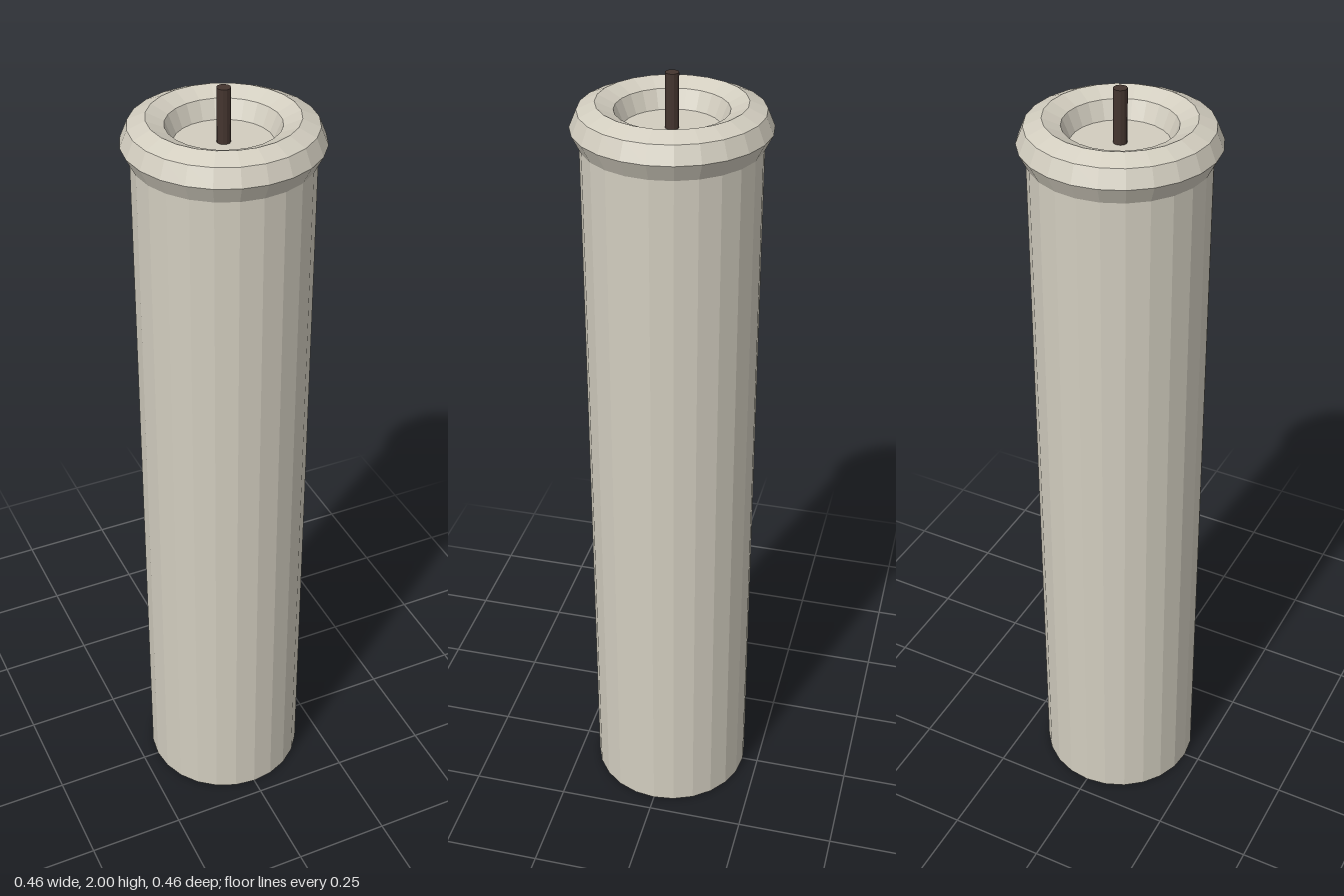
import * as THREE from 'three';

const SIDES = 24;

// Faceted normals, one per face
function faceted(geometry) {
  const flat = geometry.toNonIndexed();
  flat.computeVertexNormals();
  return flat;
}

function turned(name, profile, material) {
  const points = profile.map(([r, y]) => new THREE.Vector2(r, y));
  const mesh = new THREE.Mesh(faceted(new THREE.LatheGeometry(points, SIDES)), material);
  mesh.name = name;
  return mesh;
}

export function createModel() {
  const wax = new THREE.MeshStandardMaterial({ color: 0xd2cdbf });
  wax.name = 'pale wax';
  const char = new THREE.MeshStandardMaterial({ color: 0x44352f });
  char.name = 'charred wick';

  const group = new THREE.Group();
  group.name = 'candle';

  // Straight shaft with a closed base
  group.add(turned('shaft', [[0, 0], [0.208, 0], [0.208, 1.835]], wax));

  // Bulging rim that dips into a shallow flat-floored well
  group.add(turned('rim', [
    [0.208, 1.835], [0.229, 1.876], [0.212, 1.917], [0.171, 1.935],
    [0.13, 1.917], [0.112, 1.874],
  ], wax));
  group.add(turned('wellFloor', [[0.112, 1.874], [0, 1.874]], wax));

  // Wick standing in the well
  const wick = new THREE.Mesh(faceted(new THREE.CylinderGeometry(0.016, 0.016, 0.13, 12)), char);
  wick.name = 'wick';
  wick.position.y = 1.935;
  group.add(wick);

  return group;
}
